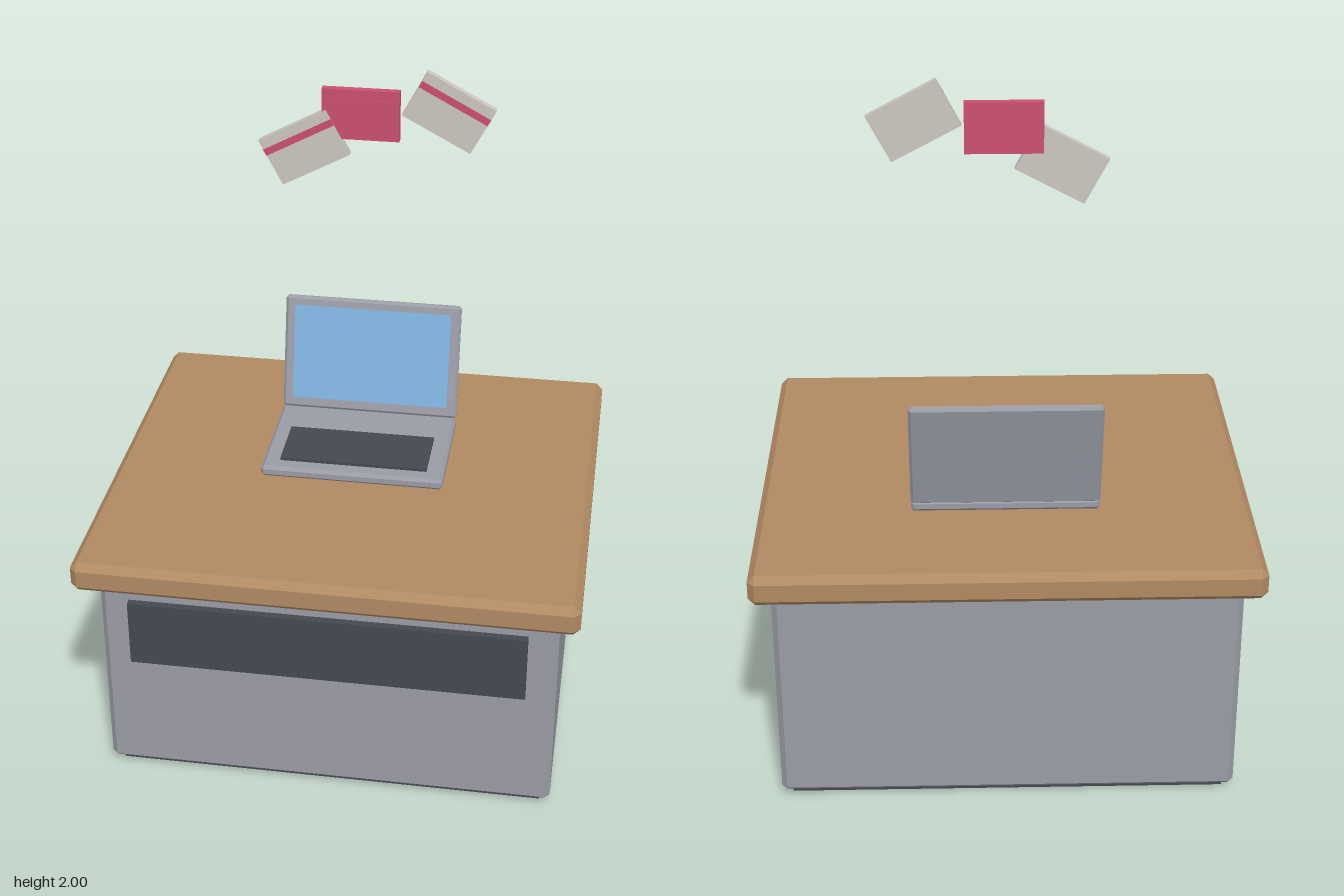
import * as THREE from 'three';
import { ConvexGeometry } from 'three/addons/geometries/ConvexGeometry.js';

function material(name, color) {
  const m = new THREE.MeshStandardMaterial({ color });
  m.name = name;
  return m;
}

// Box with every edge cut at 45 degrees by c
function chamferBox(w, h, d, c) {
  const half = [w / 2, h / 2, d / 2];
  const points = [];
  for (const sx of [-1, 1]) for (const sy of [-1, 1]) for (const sz of [-1, 1]) {
    for (let full = 0; full < 3; full++) {
      const p = half.map((v, i) => (i === full ? v : v - c));
      points.push(new THREE.Vector3(sx * p[0], sy * p[1], sz * p[2]));
    }
  }
  return new ConvexGeometry(points);
}

export function createModel() {
  const wood = material('wood', 0xb08a62);
  const grey = material('grey metal', 0x9a9ca5);
  const dark = material('dark grey', 0x454851);
  const blue = material('screen blue', 0x7fb2dc);
  const paper = material('paper', 0xcbc8c1);
  const pink = material('pink', 0xcc5070);

  const model = new THREE.Group();
  model.name = 'deskWithLaptop';

  // Adds a box, chamfered when c > 0
  function box(parent, name, mat, [w, h, d], [x, y, z], c = 0) {
    const geometry = c ? chamferBox(w, h, d, c) : new THREE.BoxGeometry(w, h, d);
    const mesh = new THREE.Mesh(geometry, mat);
    mesh.name = name;
    mesh.position.set(x, y, z);
    parent.add(mesh);
    return mesh;
  }

  // Desk
  const desk = new THREE.Group();
  desk.name = 'desk';
  model.add(desk);
  box(desk, 'plinth', dark, [1.25, 0.06, 1.065], [0, 0.03, -0.018]);
  box(desk, 'cabinet', grey, [1.31, 0.66, 1.135], [0, 0.352, -0.018], 0.016);
  box(desk, 'frontPanel', dark, [1.14, 0.205, 0.03], [0, 0.508, 0.556]);
  box(desk, 'deskTop', wood, [1.424, 0.092, 1.28], [0, 0.729, 0], 0.02);

  // Laptop base and keyboard
  const laptop = new THREE.Group();
  laptop.name = 'laptop';
  model.add(laptop);
  box(laptop, 'laptopBase', grey, [0.544, 0.034, 0.38], [0, 0.792, -0.09], 0.009);
  box(laptop, 'keyboard', dark, [0.44, 0.012, 0.185], [0, 0.812, -0.038]);

  // Lid leaning back, with the screen on its front
  const lid = new THREE.Group();
  lid.name = 'laptopLid';
  lid.position.set(0, 0.979, -0.32);
  lid.rotation.x = -0.245;
  laptop.add(lid);
  box(lid, 'lidShell', grey, [0.544, 0.356, 0.024], [0, 0, 0], 0.008);
  box(lid, 'screen', blue, [0.484, 0.295, 0.008], [0, 0.003, 0.011]);

  // Floating cards, each with a stripe on its front
  const cards = [
    ['leftCard', paper, 0.246, 1.886, -0.094, -0.49],
    ['middleCard', pink, 0, 1.865, -0.095, 0],
    ['rightCard', paper, -0.16, 1.76, -0.092, 0.49],
  ];
  for (const [name, mat, x, y, z, turn] of cards) {
    const card = new THREE.Group();
    card.name = name;
    card.position.set(x, y, z);
    card.rotation.z = turn;
    model.add(card);
    box(card, 'sheet', mat, [0.218, 0.146, 0.022], [0, 0, 0]);
    box(card, 'stripe', pink, [0.218, 0.02, 0.004], [0, 0.034, 0.0115]);
  }

  return model;
}
